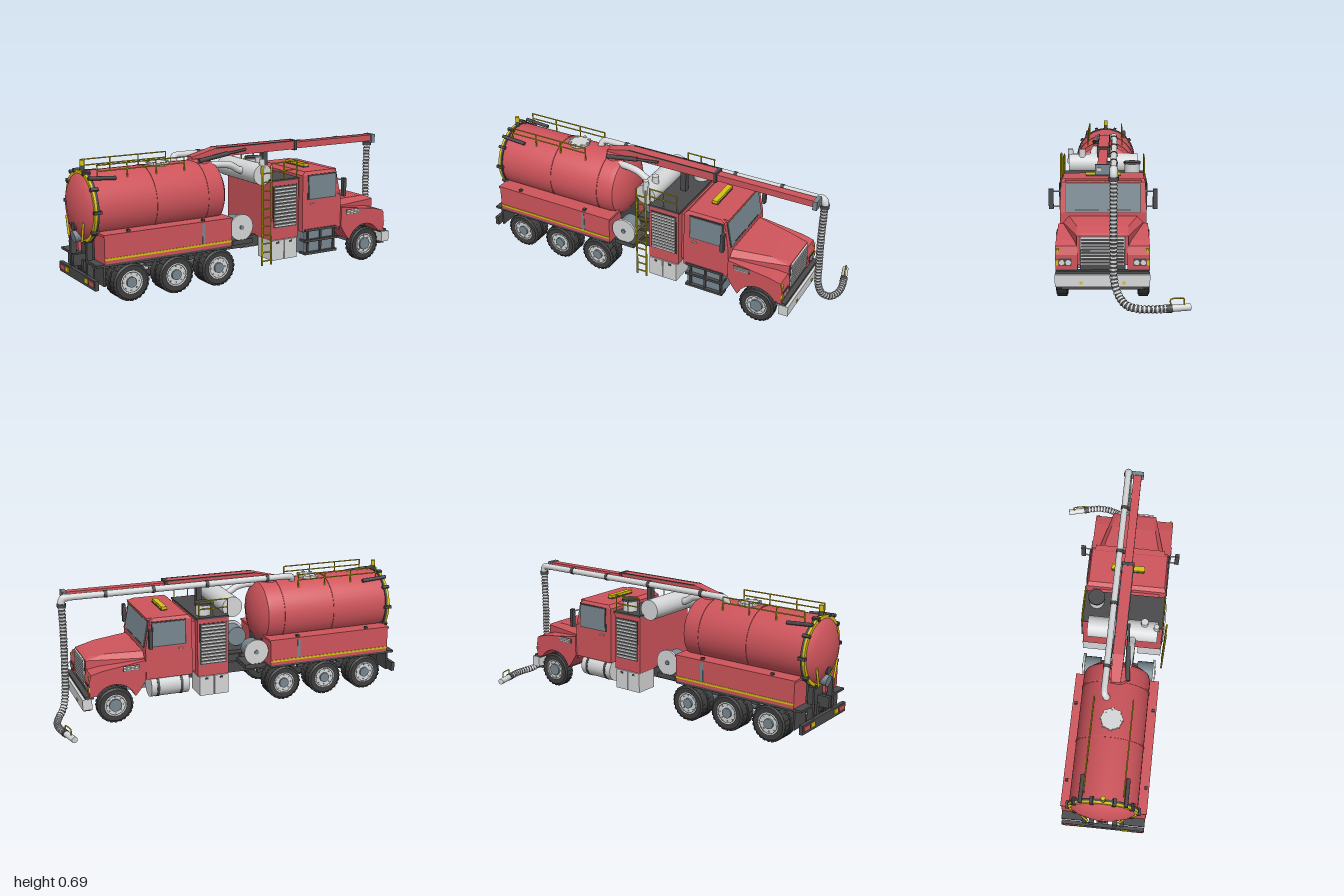
import * as THREE from 'three';
import { toCreasedNormals } from 'three/addons/utils/BufferGeometryUtils.js';
import { ConvexGeometry } from 'three/addons/geometries/ConvexGeometry.js';

const mat = (name, color) => Object.assign(new THREE.MeshStandardMaterial({ color }), { name });
const V = (x, y, z) => new THREE.Vector3(x, y, z);

export function createModel() {
  const red = mat('paint red', 0xcf555c), light = mat('light metal', 0xd6d7d8), dark = mat('dark grey', 0x4a4a4c);
  const tyreMat = mat('tyre', 0x3e3e3f), slate = mat('slate', 0x798891), yellow = mat('yellow', 0xd6c212);
  const model = new THREE.Group();
  model.name = 'vacuumTruck';
  const truck = new THREE.Group();
  truck.name = 'truckBody';
  truck.position.z = 0.071;
  model.add(truck);
  let target = truck;

  const add = (name, geo, m, x = 0, y = 0, z = 0) => {
    const mesh = new THREE.Mesh(geo, m);
    mesh.name = name;
    mesh.position.set(x, y, z);
    target.add(mesh);
    return mesh;
  };
  const box = (name, m, x0, x1, y0, y1, z0, z1) =>
    add(name, new THREE.BoxGeometry(x1 - x0, y1 - y0, z1 - z0), m, (x0 + x1) / 2, (y0 + y1) / 2, (z0 + z1) / 2);
  // the same box on both sides, z0 < z1 measured outward
  const boxes = (name, m, x0, x1, y0, y1, z0, z1) => {
    box(name, m, x0, x1, y0, y1, z0, z1);
    box(name, m, x0, x1, y0, y1, -z1, -z0);
  };
  const rod = (name, m, r, a, b, seg = 10, r2 = r) => {
    const d = b.clone().sub(a);
    const mesh = add(name, new THREE.CylinderGeometry(r2, r, d.length(), seg), m);
    mesh.position.copy(a).add(b).multiplyScalar(0.5);
    mesh.quaternion.setFromUnitVectors(V(0, 1, 0), d.normalize());
    return mesh;
  };
  const tube = (name, m, r, pts, n = 24) =>
    add(name, new THREE.TubeGeometry(new THREE.CatmullRomCurve3(pts), n, r, 12), m);
  // convex body mirrored across the centre plane
  const hull = (name, m, pts) =>
    add(name, new ConvexGeometry(pts.flatMap(([x, y, z]) => [V(x, y, z), V(x, y, -z)])), m);
  const lathe = (pts, seg) => toCreasedNormals(
    new THREE.LatheGeometry(pts.map(p => new THREE.Vector2(p[0], p[1])), seg), 0.6);
  const sides = [1, -1];

  // Tank with domed ends, bands and rear door ring
  const TY = 0.46, TR = 0.176;
  const tankPts = [[0, -0.99], [0.07, -0.984], [0.13, -0.967], [0.162, -0.947], [TR, -0.93], [TR, -0.235],
    [0.167, -0.21], [0.13, -0.184], [0.07, -0.166], [0, -0.16]];
  add('tank', lathe(tankPts, 40).rotateZ(-Math.PI / 2), red, 0, TY, 0);
  for (const x of [-0.6, -0.305])
    add('tankBand', new THREE.CylinderGeometry(TR + 0.003, TR + 0.003, 0.008, 40).rotateZ(Math.PI / 2), red, x, TY, 0);
  for (const [x, m] of [[-0.937, yellow], [-0.925, dark]])
    add('rearDoorRing', new THREE.CylinderGeometry(0.182, 0.182, 0.012, 40).rotateZ(Math.PI / 2), m, x, TY, 0);
  for (let i = 0; i < 10; i++) {
    const a = (i + 0.5) * Math.PI / 5;
    const c = add('doorClamp', new THREE.BoxGeometry(0.04, 0.02, 0.016), dark,
      -0.93, TY + 0.182 * Math.cos(a), 0.182 * Math.sin(a));
    c.rotation.x = a;
  }
  rod('rearValve', slate, 0.03, V(-0.93, 0.32, 0), V(-0.985, 0.31, 0), 16);
  rod('valveWheel', dark, 0.022, V(-0.97, 0.365, 0), V(-0.985, 0.365, 0), 12);
  rod('beaconPost', dark, 0.012, V(-0.925, 0.63, 0), V(-0.925, 0.665, 0));
  rod('beacon', yellow, 0.012, V(-0.925, 0.665, 0), V(-0.925, 0.692, 0));
  rod('manhole', light, 0.055, V(-0.51, 0.625, 0), V(-0.51, 0.645, 0), 20);
  for (let i = 0; i < 8; i++)
    box('manholeBolt', light, -0.517 + 0.053 * Math.cos(i * 0.785), -0.503 + 0.053 * Math.cos(i * 0.785),
      0.635, 0.65, -0.007 + 0.053 * Math.sin(i * 0.785), 0.007 + 0.053 * Math.sin(i * 0.785));
  for (const s of sides) {
    rod('doorActuator', dark, 0.01, V(-0.945, 0.618, s * 0.115), V(-0.8, 0.608, s * 0.115));
    rod('doorHook', yellow, 0.006, V(-0.972, 0.3, s * 0.08), V(-0.972, 0.4, s * 0.105));
    // Tank top rail
    for (const y of [0.675, 0.645]) rod('tankRail', yellow, 0.0035, V(-0.89, y, s * 0.1), V(-0.41, y, s * 0.1), 6);
    for (let i = 0; i < 4; i++)
      rod('tankRailPost', yellow, 0.0035, V(-0.89 + i * 0.16, 0.59, s * 0.1), V(-0.89 + i * 0.16, 0.677, s * 0.1), 6);
  }

  // Side tool boxes along the tank
  boxes('toolBox', red, -0.917, -0.2, 0.21, 0.345, 0.1, 0.221);
  boxes('toolBoxLid', red, -0.921, -0.196, 0.344, 0.356, 0.1, 0.225);
  boxes('toolBoxStripe', yellow, -0.917, -0.2, 0.228, 0.239, 0.22, 0.224);
  boxes('toolBoxStrap', slate, -0.375, -0.358, 0.24, 0.344, 0.22, 0.224);
  boxes('toolBoxLatch', dark, -0.79, -0.775, 0.35, 0.368, 0.2, 0.215);
  boxes('toolBoxLatch', dark, -0.37, -0.355, 0.35, 0.368, 0.2, 0.215);

  // Chassis, rear frame and bumper
  boxes('chassisRail', dark, -0.965, 0.79, 0.145, 0.205, 0.05, 0.075);
  box('subFrame', dark, -0.9, -0.2, 0.195, 0.32, -0.1, 0.1);
  boxes('wheelDeck', dark, -0.96, -0.2, 0.198, 0.21, 0.1, 0.221);
  for (const x of [-0.9, -0.65, -0.4, -0.15, 0.2, 0.5]) box('crossMember', dark, x, x + 0.03, 0.15, 0.2, -0.055, 0.055);
  boxes('mudFlap', dark, -0.925, -0.915, 0.1, 0.21, 0.11, 0.22);
  boxes('bumperHanger', dark, -0.96, -0.93, 0.1, 0.3, 0.09, 0.11);
  box('rearBumper', dark, -0.972, -0.952, 0.085, 0.135, -0.222, 0.222);
  boxes('tailLamp', red, -0.976, -0.971, 0.1, 0.125, 0.15, 0.21);
  boxes('rearMarker', yellow, -0.976, -0.971, 0.1, 0.125, 0.1, 0.14);
  rod('driveShaft', slate, 0.013, V(-0.78, 0.115, 0), V(0.25, 0.15, 0));
  box('gearbox', slate, 0.25, 0.72, 0.11, 0.2, -0.045, 0.045);

  // Wheels and axles
  const tyreGeo = lathe([[0.05, -0.026], [0.085, -0.028], [0.094, -0.022], [0.096, -0.012], [0.096, 0.012],
    [0.094, 0.022], [0.085, 0.028], [0.05, 0.026]], 32).rotateX(Math.PI / 2);
  const WY = 0.102;
  const wheel = (x, z, s, outer) => {
    add('tyre', tyreGeo, tyreMat, x, WY, z);
    for (let i = 0; i < 24; i++) {
      const a = i * Math.PI / 12;
      const b = add('treadBlock', new THREE.BoxGeometry(0.014, 0.005, 0.046), tyreMat,
        x + 0.0945 * Math.sin(a), WY + 0.0945 * Math.cos(a), z);
      b.rotation.z = -a;
    }
    rod('rim', light, 0.057, V(x, WY, z - 0.02), V(x, WY, z + 0.02), 24);
    if (!outer) return;
    add('rimLip', new THREE.TorusGeometry(0.056, 0.005, 6, 28), light, x, WY, z + s * 0.024);
    rod('hub', slate, x > 0 ? 0.034 : 0.027, V(x, WY, z), V(x, WY, z + s * 0.03), 16);
    for (let i = 0; i < 8; i++) {
      const a = i * Math.PI / 4, px = x + 0.043 * Math.cos(a), py = WY + 0.043 * Math.sin(a);
      rod('rimHole', slate, 0.005, V(px, py, z + s * 0.018), V(px, py, z + s * 0.0215), 8);
    }
  };
  for (const x of [-0.777, -0.527, -0.28, 0.676]) {
    for (const s of sides) {
      wheel(x, s * 0.197, s, true);
      if (x < 0) wheel(x, s * 0.14, s, false);
    }
    rod('axle', slate, 0.018, V(x, WY, -0.19), V(x, WY, 0.19), 12);
    if (x < 0) add('differential', new THREE.SphereGeometry(0.045, 16, 10), slate, x, WY, 0);
    boxes('leafSpring', dark, x - 0.1, x + 0.1, 0.125, 0.145, 0.055, 0.08);
  }

  // Reels between tank and pump housing
  for (const s of sides) {
    rod('reelDrum', slate, 0.055, V(-0.125, 0.29, s * 0.1), V(-0.125, 0.29, s * 0.19), 20);
    rod('reelDisc', light, 0.07, V(-0.125, 0.29, s * 0.185), V(-0.125, 0.29, s * 0.197), 28);
    rod('reelHub', slate, 0.012, V(-0.125, 0.29, s * 0.19), V(-0.125, 0.29, s * 0.203), 12);
  }
  boxes('reelBracket', dark, -0.18, -0.06, 0.2, 0.225, 0.06, 0.2);

  // Pump housing with louvres, lower boxes and top rail
  box('pumpHousing', red, 0.045, 0.22, 0.2, 0.515, -0.217, 0.217);
  box('housingTop', dark, 0.045, 0.225, 0.515, 0.525, -0.22, 0.22);
  box('housingNeck', red, 0.215, 0.255, 0.22, 0.5, -0.18, 0.18);
  boxes('louvrePanel', dark, 0.058, 0.208, 0.265, 0.492, 0.216, 0.22);
  for (let i = 0; i < 12; i++) boxes('louvre', light, 0.064, 0.202, 0.271 + i * 0.0185, 0.282 + i * 0.0185, 0.218, 0.227);
  boxes('lowerLocker', light, 0.048, 0.126, 0.09, 0.198, 0.09, 0.222);
  boxes('lowerLocker', light, 0.13, 0.21, 0.09, 0.198, 0.09, 0.222);
  boxes('lockerLatch', dark, 0.08, 0.095, 0.18, 0.19, 0.221, 0.225);
  boxes('lockerLatch', dark, 0.163, 0.178, 0.18, 0.19, 0.221, 0.225);
  for (const s of sides) {
    for (const y of [0.615, 0.57]) rod('housingRail', yellow, 0.0035, V(0.05, y, s * 0.213), V(0.21, y, s * 0.213), 6);
    for (const x of [0.05, 0.13, 0.21]) rod('housingRailPost', yellow, 0.0035, V(x, 0.51, s * 0.213), V(x, 0.618, s * 0.213), 6);
  }
  rod('silencer', light, 0.056, V(0.01, 0.555, -0.18), V(0.01, 0.555, 0.19), 24);
  rod('exhaustStack', light, 0.017, V(0.01, 0.56, 0.182), V(0.01, 0.638, 0.182), 14, 0.014);
  rod('ventStack', light, 0.019, V(0.03, 0.56, 0.118), V(0.03, 0.64, 0.118), 14);
  rod('filterCanister', light, 0.04, V(0.165, 0.52, -0.15), V(0.165, 0.58, -0.15), 20);
  rod('filterLid', dark, 0.045, V(0.165, 0.58, -0.15), V(0.165, 0.592, -0.15), 20);
  tube('suctionPipe', light, 0.019, [V(-0.24, 0.6, 0.05), V(-0.2, 0.608, 0.055), V(-0.11, 0.598, 0.06), V(-0.06, 0.57, 0.06), V(0.01, 0.55, 0.06)]);

  // Ladder
  for (const x of [-0.02, 0.036]) rod('ladderRail', yellow, 0.005, V(x, 0.075, 0.234), V(x, 0.612, 0.234), 6);
  for (let i = 0; i < 11; i++) rod('ladderRung', yellow, 0.004, V(-0.02, 0.1 + i * 0.047, 0.234), V(0.036, 0.1 + i * 0.047, 0.234), 6);

  // Cab, windows and roof
  hull('cab', red, [[0.25, 0.22, 0.218], [0.25, 0.53, 0.215], [0.27, 0.548, 0.205], [0.455, 0.548, 0.205],
    [0.476, 0.535, 0.211], [0.505, 0.385, 0.217], [0.505, 0.22, 0.218]]);
  boxes('doorFrame', dark, 0.283, 0.472, 0.394, 0.53, 0.213, 0.219);
  boxes('sideWindow', slate, 0.29, 0.465, 0.4, 0.524, 0.215, 0.221);
  boxes('doorHandle', light, 0.3, 0.325, 0.37, 0.377, 0.217, 0.224);
  const slope = Math.atan2(0.029, 0.15);
  const pane = (name, m, h, w, off) => {
    add(name, new THREE.BoxGeometry(0.006, h, w), m, 0.491 + off, 0.456, 0).rotation.z = slope;
  };
  pane('windscreenFrame', dark, 0.144, 0.376, 0);
  pane('windscreen', slate, 0.138, 0.37, 0.003);
  boxes('wiper', dark, 0.502, 0.51, 0.395, 0.4, 0.02, 0.14);
  box('sunVisor', red, 0.455, 0.49, 0.533, 0.546, -0.19, 0.19);
  for (const z of [-0.145, -0.07, 0, 0.07, 0.145]) box('roofMarker', yellow, 0.488, 0.494, 0.536, 0.543, z - 0.008, z + 0.008);
  box('lightBarBase', dark, 0.345, 0.378, 0.547, 0.555, -0.088, 0.088);
  box('lightBar', yellow, 0.347, 0.376, 0.555, 0.568, -0.09, 0.09);
  for (const s of sides) {
    for (const y of [0.49, 0.412]) rod('mirrorArm', light, 0.004, V(0.485, y, s * 0.21), V(0.49, y, s * 0.255), 6);
  }
  boxes('mirror', dark, 0.482, 0.5, 0.402, 0.503, 0.248, 0.272);

  // Steps on one side, fuel tank on the other
  box('stepBox', slate, 0.27, 0.475, 0.09, 0.235, 0.1, 0.205);
  for (const y of [0.09, 0.16, 0.22]) box('step', dark, 0.265, 0.48, y, y + 0.013, 0.17, 0.224);
  for (const x of [0.285, 0.37, 0.46]) box('stepBracket', dark, x, x + 0.01, 0.09, 0.23, 0.2, 0.216);
  rod('fuelTank', light, 0.065, V(0.265, 0.165, -0.15), V(0.475, 0.165, -0.15), 24);
  for (const x of [0.3, 0.43]) rod('fuelTankStrap', dark, 0.067, V(x, 0.165, -0.15), V(x + 0.014, 0.165, -0.15), 24);

  // Hood, fenders and grille
  hull('hood', red, [[0.508, 0.2, 0.2], [0.508, 0.335, 0.2], [0.508, 0.366, 0.17], [0.7, 0.357, 0.125],
    [0.785, 0.342, 0.1], [0.803, 0.33, 0.122], [0.803, 0.19, 0.122]]);
  const fender = new THREE.Shape();
  fender.moveTo(0.81, 0.165);
  [[0.812, 0.24], [0.8, 0.282], [0.74, 0.298], [0.65, 0.31], [0.508, 0.33], [0.508, 0.22], [0.54, 0.17], [0.565, 0.14]]
    .forEach(p => fender.lineTo(p[0], p[1]));
  fender.absarc(0.676, 0.105, 0.113, 2.8, 0.56, true);
  const fenderGeo = new THREE.ExtrudeGeometry(fender, { depth: 0.106, bevelEnabled: false });
  add('fender', fenderGeo, red, 0, 0, 0.118);
  add('fender', fenderGeo, red, 0, 0, -0.224);
  boxes('hoodVent', dark, 0.54, 0.63, 0.285, 0.312, 0.222, 0.226);
  for (let i = 0; i < 3; i++) boxes('hoodVentSlat', light, 0.544, 0.626, 0.288 + i * 0.008, 0.293 + i * 0.008, 0.224, 0.229);
  box('grillePanel', dark, 0.795, 0.808, 0.16, 0.326, -0.108, 0.108);
  for (let i = 0; i < 9; i++) box('grilleBar', light, 0.806, 0.814, 0.193 + i * 0.0155, 0.2 + i * 0.0155, -0.1, 0.1);
  boxes('grilleFrame', light, 0.805, 0.814, 0.19, 0.328, 0.1, 0.105);
  box('grilleFrameTop', light, 0.805, 0.814, 0.324, 0.329, -0.105, 0.105);
  boxes('headlampHousing', dark, 0.808, 0.816, 0.188, 0.224, 0.146, 0.209);
  boxes('turnSignal', yellow, 0.808, 0.816, 0.19, 0.218, 0.21, 0.225);
  boxes('fenderMarker', yellow, 0.803, 0.813, 0.254, 0.27, 0.205, 0.219);
  for (const s of sides) for (const z of [0.162, 0.193])
    rod('headlamp', light, 0.013, V(0.812, 0.206, s * z), V(0.82, 0.206, s * z), 16);
  box('bumperTop', dark, 0.79, 0.835, 0.152, 0.168, -0.222, 0.222);
  box('frontBumper', light, 0.8, 0.85, 0.096, 0.154, -0.225, 0.225);
  box('bumperLip', dark, 0.8, 0.84, 0.08, 0.096, -0.195, 0.195);
  boxes('bumperLamp', yellow, 0.848, 0.854, 0.108, 0.122, 0.095, 0.108);

  // Boom, its pedestal and hydraulic ram
  rod('boomPedestal', red, 0.07, V(-0.27, 0.59, 0.01), V(-0.27, 0.645, 0.01), 20, 0.05);
  hull('boomBase', red, [[-0.32, 0.635, 0.025], [-0.32, 0.655, 0.025], [-0.18, 0.69, 0.03], [-0.17, 0.64, 0.03]]);
  box('outerBoom', red, -0.18, 0.325, 0.643, 0.69, -0.03, 0.03);
  boxes('boomEdge', dark, -0.18, 0.325, 0.686, 0.692, 0.026, 0.032);
  box('boomCollar', dark, 0.32, 0.338, 0.637, 0.692, -0.033, 0.033);
  box('innerBoom', red, 0.33, 0.87, 0.645, 0.68, -0.022, 0.022);
  box('boomTip', slate, 0.865, 0.888, 0.635, 0.684, -0.033, 0.033);
  box('tipLamp', light, 0.887, 0.892, 0.655, 0.67, 0.005, 0.022);
  rod('boomRam', dark, 0.012, V(-0.3, 0.637, 0.06), V(-0.12, 0.658, 0.045));
  rod('ramPiston', dark, 0.007, V(-0.12, 0.658, 0.045), V(0.0, 0.67, 0.037));
  box('boomRest', dark, 0.125, 0.155, 0.52, 0.645, -0.016, 0.016);

  // Suction pipe beside the boom
  rod('boomPipe', light, 0.017, V(-0.37, 0.66, -0.053), V(0.885, 0.66, -0.053), 16);
  tube('pipeRearElbow', light, 0.018, [V(-0.36, 0.66, -0.053), V(-0.385, 0.655, -0.05), V(-0.395, 0.635, -0.04), V(-0.395, 0.6, -0.03)]);
  for (const x of [-0.25, 0.1, 0.4, 0.66]) {
    rod('pipeJoint', dark, 0.02, V(x, 0.66, -0.053), V(x + 0.018, 0.66, -0.053), 16);
    box('pipeBracket', dark, x, x + 0.016, 0.652, 0.668, -0.045, -0.01);
  }
  tube('pipeTipElbow', light, 0.02, [V(0.87, 0.66, -0.053), V(0.89, 0.657, -0.053), V(0.9, 0.64, -0.053), V(0.9, 0.615, -0.053)]);

  // Ribbed hanging hose and nozzle
  target = model;
  rod('hoseCoupling', dark, 0.024, V(0.9, 0.61, 0.018), V(0.9, 0.63, 0.018), 16);
  const path = new THREE.CatmullRomCurve3([V(0.9, 0.625, 0.018), V(0.897, 0.45, 0.019), V(0.899, 0.28, 0.019),
    V(0.904, 0.14, 0.016), V(0.922, 0.068, -0.008), V(0.955, 0.034, -0.045), V(0.976, 0.025, -0.1),
    V(0.979, 0.024, -0.16), V(0.965, 0.023, -0.235)]);
  add('hose', new THREE.TubeGeometry(path, 90, 0.0165, 12), dark);
  for (let i = 1; i < 44; i++) {
    const t = i / 44, p = path.getPointAt(t), d = path.getTangentAt(t).multiplyScalar(0.0042);
    rod('hoseRib', light, 0.0195, p.clone().sub(d), p.clone().add(d), 14);
  }
  rod('nozzleCollar', dark, 0.02, V(0.967, 0.023, -0.222), V(0.961, 0.023, -0.25), 16);
  rod('nozzle', light, 0.0165, V(0.962, 0.023, -0.24), V(0.937, 0.023, -0.338), 16);
  tube('nozzleHandle', yellow, 0.0035, [V(0.963, 0.035, -0.245), V(0.963, 0.066, -0.245), V(0.961, 0.069, -0.25),
    V(0.949, 0.069, -0.303), V(0.948, 0.066, -0.308), V(0.948, 0.035, -0.308)], 40);
  return model;
}
